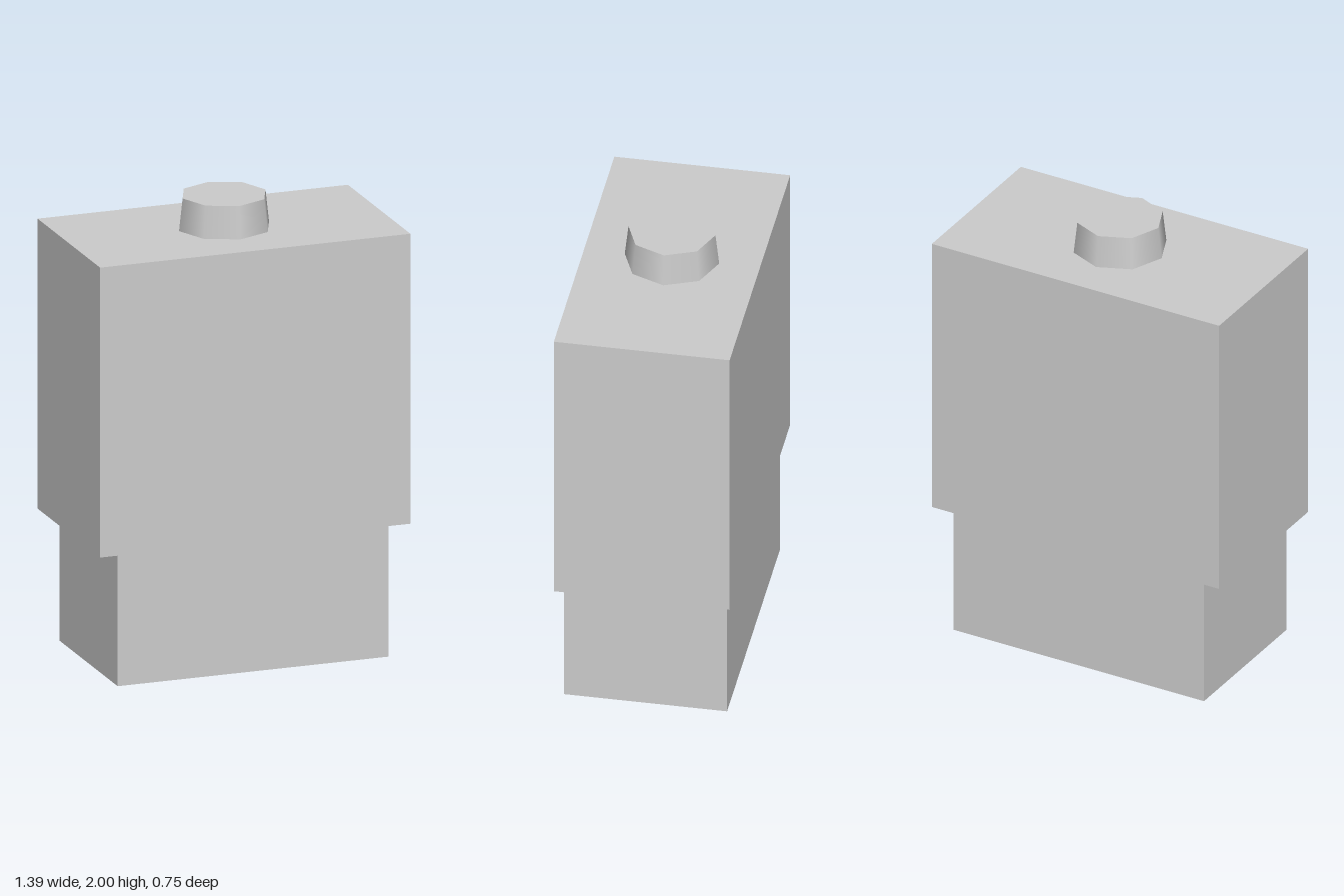
import * as THREE from 'three';

export function createModel() {
  const model = new THREE.Group();
  const grey = new THREE.MeshStandardMaterial({ color: 0xcccccc });
  grey.name = 'light grey';

  // Adds a part standing on height y
  const add = (name, geometry, y, height) => {
    const mesh = new THREE.Mesh(geometry, grey);
    mesh.name = name;
    mesh.position.y = y + height / 2;
    model.add(mesh);
  };

  // Narrow base, wider body and a tapered eight-sided stud with smooth sides
  add('base', new THREE.BoxGeometry(1.215, 0.583, 0.697), 0, 0.583);
  add('body', new THREE.BoxGeometry(1.393, 1.275, 0.752), 0.583, 1.275);
  add('topStud', new THREE.CylinderGeometry(0.186, 0.202, 0.142, 8), 1.858, 0.142);

  return model;
}
